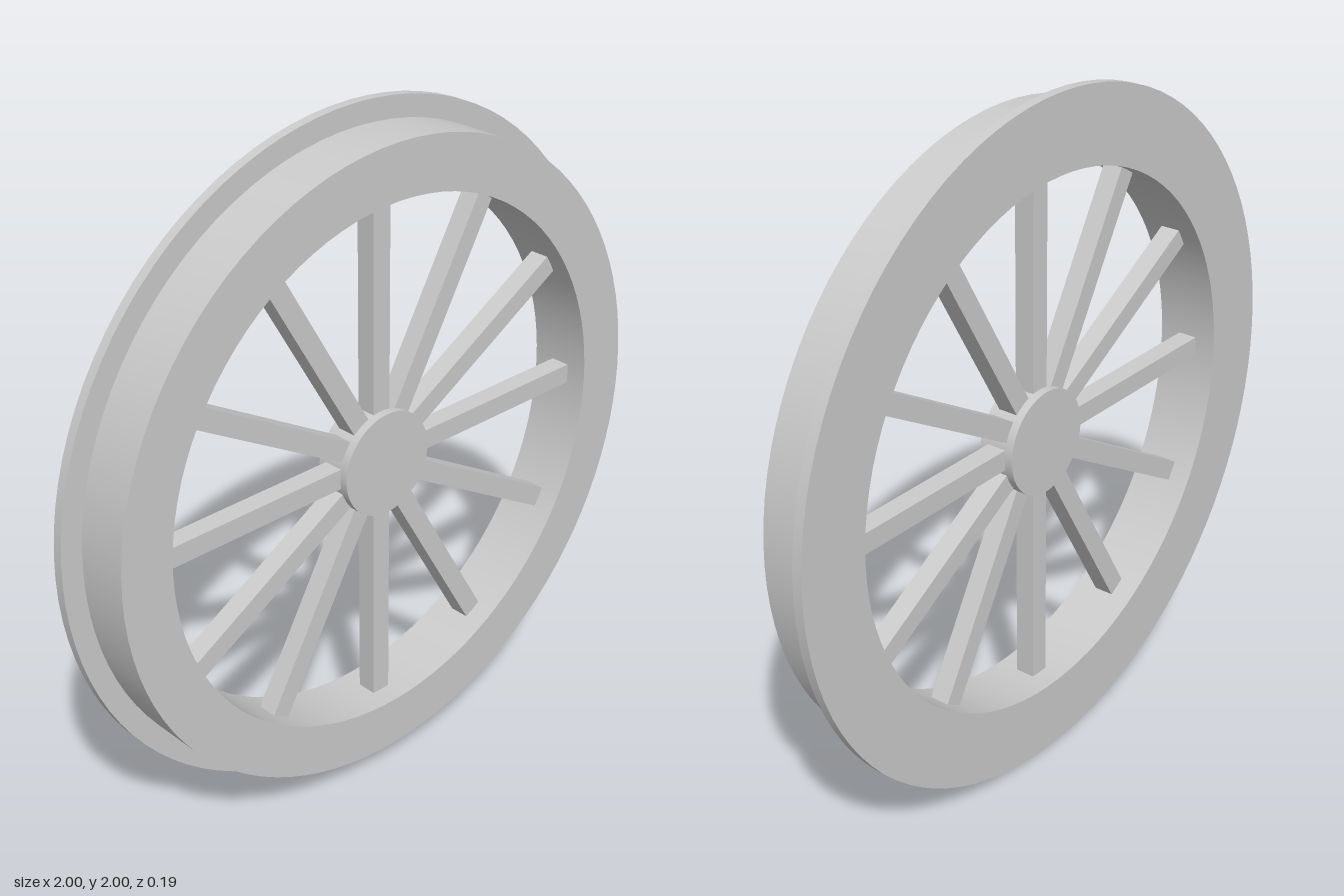
import * as THREE from 'three';
import { toCreasedNormals } from 'three/addons/utils/BufferGeometryUtils.js';

export function createModel() {
  const model = new THREE.Group();
  model.name = 'flangedWheel';
  const material = new THREE.MeshStandardMaterial({ color: 0xcccccc });

  const add = (name, geometry, parent) => {
    const mesh = new THREE.Mesh(geometry, material);
    mesh.name = name;
    parent.add(mesh);
    return mesh;
  };

  // Everything is built around the axle, which runs along z at height 1
  const wheel = new THREE.Group();
  wheel.name = 'wheel';
  wheel.position.y = 1;
  model.add(wheel);

  // Rim: one closed section (radius, z) with the wide flange at the back
  const half = 0.095, flangeFront = -0.065;
  const inner = 0.78, tread = 0.937, flange = 1;
  const section = [
    [inner, -half], [flange, -half], [flange, flangeFront],
    [tread, flangeFront], [tread, half], [inner, half], [inner, -half],
  ].map(([r, z]) => new THREE.Vector2(r, z));
  const rim = new THREE.LatheGeometry(section, 96).rotateX(Math.PI / 2);
  add('rim', toCreasedNormals(rim, Math.PI / 6), wheel);

  // Hub: a short solid disc
  add('hub', new THREE.CylinderGeometry(0.155, 0.155, 0.11, 64).rotateX(Math.PI / 2), wheel);

  // Twelve square spokes, ends buried in hub and rim
  const spokes = new THREE.Group();
  spokes.name = 'spokes';
  wheel.add(spokes);
  const start = 0.12, end = 0.8, count = 12;
  const spoke = new THREE.BoxGeometry(0.06, end - start, 0.06).translate(0, (start + end) / 2, 0);
  for (let i = 0; i < count; i++) {
    add('spoke', spoke, spokes).rotation.z = (i / count) * Math.PI * 2;
  }

  return model;
}
